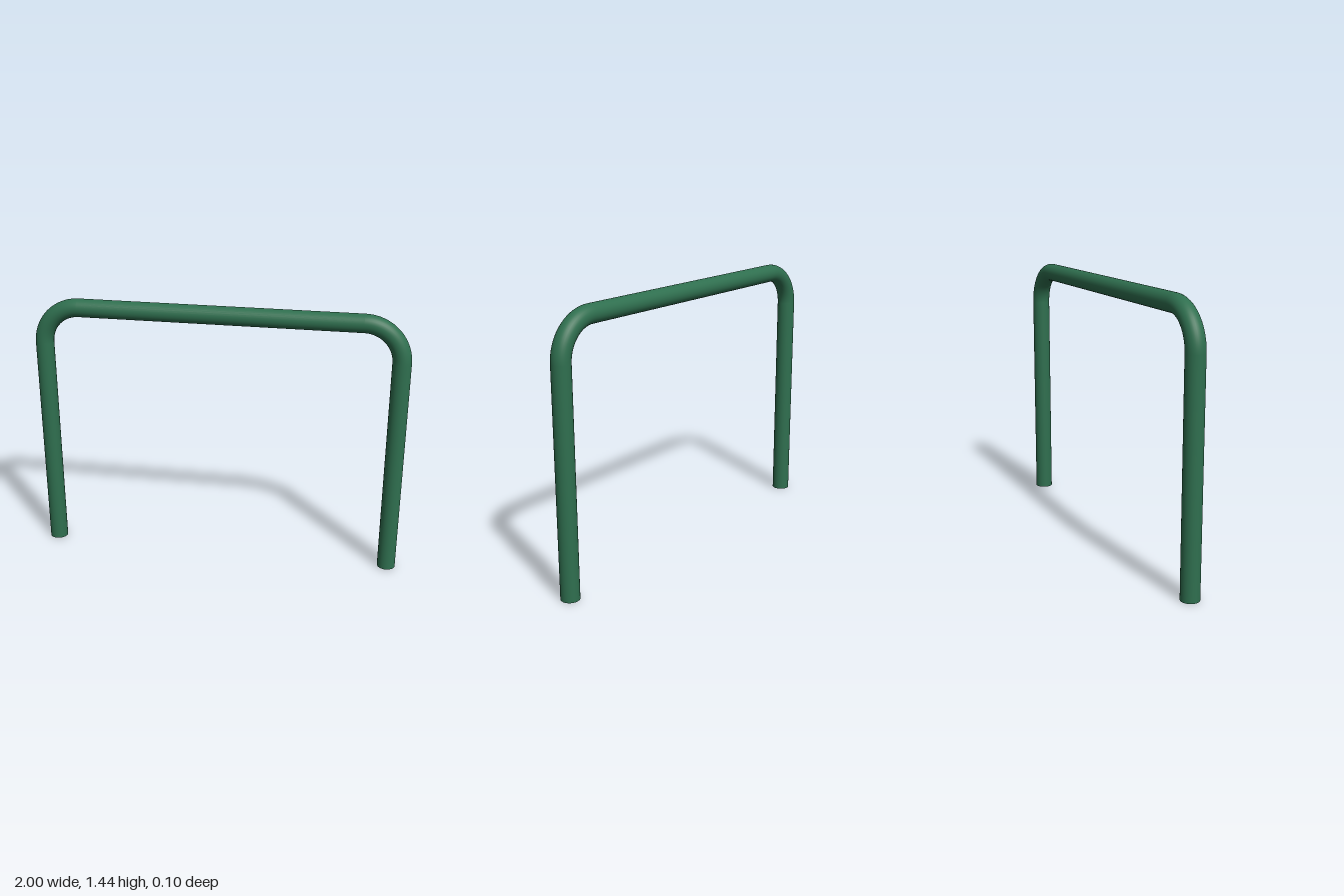
import * as THREE from 'three';

const TUBE = 0.049;   // tube radius
const BEND = 0.2;     // centre-line bend radius
const LEG_X = 0.951;
const RAIL_Y = 1.389;
const SIDES = 32;

export function createModel() {
  const group = new THREE.Group();
  group.name = 'tubularHoop';
  // open tube ends, so the inside shows from below
  const material = new THREE.MeshStandardMaterial({ color: 0x2f6f4f, side: THREE.DoubleSide });

  const add = (name, geometry, x, y) => {
    const mesh = new THREE.Mesh(geometry, material);
    mesh.name = name;
    mesh.position.set(x, y, 0);
    group.add(mesh);
    return mesh;
  };
  const pipe = (length) => new THREE.CylinderGeometry(TUBE, TUBE, length, SIDES, 1, true);

  // upright legs and the quarter bends above them
  const legHeight = RAIL_Y - BEND;
  for (const [side, s] of [['left', 1], ['right', -1]]) {
    add(side + 'Leg', pipe(legHeight), s * LEG_X, legHeight / 2);
    const bend = add(side + 'Bend', new THREE.TorusGeometry(BEND, TUBE, SIDES, 20, Math.PI / 2),
      s * (LEG_X - BEND), legHeight);
    if (s < 0) bend.rotation.z = Math.PI / 2;
  }

  // horizontal top rail
  add('topRail', pipe(2 * (LEG_X - BEND)), 0, RAIL_Y).rotation.z = Math.PI / 2;

  return group;
}
